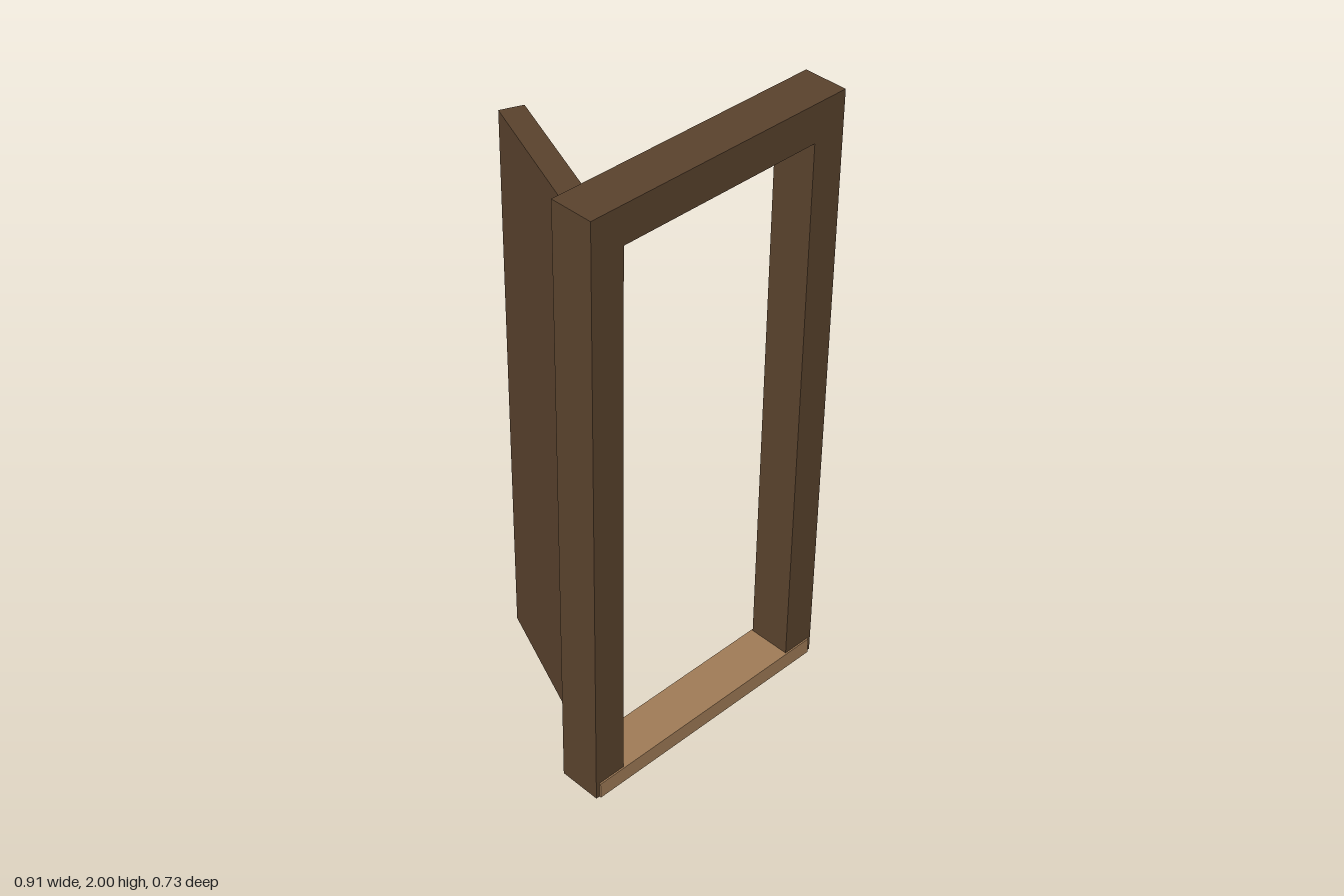
import * as THREE from 'three';

export function createModel() {
  const model = new THREE.Group();
  model.name = 'openDoor';

  const darkWood = new THREE.MeshStandardMaterial({ color: 0x59422d });
  darkWood.name = 'dark wood';
  const lightWood = new THREE.MeshStandardMaterial({ color: 0x9f7b56 });
  lightWood.name = 'light wood';

  // Box given by its minimum and maximum along each axis
  function box(parent, name, material, [x0, x1], [y0, y1], [z0, z1]) {
    const mesh = new THREE.Mesh(new THREE.BoxGeometry(x1 - x0, y1 - y0, z1 - z0), material);
    mesh.position.set((x0 + x1) / 2, (y0 + y1) / 2, (z0 + z1) / 2);
    mesh.name = name;
    parent.add(mesh);
  }

  // Frame: two jambs, a header and a threshold that stands slightly proud
  const frame = new THREE.Group();
  frame.name = 'frame';
  const depth = [0.22, 0.36];
  box(frame, 'leftJamb', darkWood, [0.345, 0.455], [0.002, 1.88], depth);
  box(frame, 'rightJamb', darkWood, [-0.455, -0.345], [0.002, 1.88], depth);
  box(frame, 'header', darkWood, [-0.455, 0.455], [1.88, 2], depth);
  box(frame, 'threshold', lightWood, [-0.442, 0.442], [0, 0.056], [0.215, 0.365]);
  model.add(frame);

  // Door leaf, swung open about its hinge; local x runs away from the hinge
  const door = new THREE.Group();
  door.name = 'door';
  door.position.set(-0.34, 0, 0.293);
  door.rotation.y = THREE.MathUtils.degToRad(68.1);
  box(door, 'leaf', darkWood, [0, 0.695], [0.012, 1.86], [-0.0375, 0.0375]);
  box(door, 'lowerPanel', lightWood, [0.137, 0.567], [0.297, 0.75], [0.03, 0.055]);
  box(door, 'upperPanel', lightWood, [0.137, 0.567], [1.047, 1.5], [0.03, 0.055]);
  box(door, 'handle', lightWood, [0.589, 0.65], [0.9, 0.953], [0.03, 0.081]);
  model.add(door);

  return model;
}
